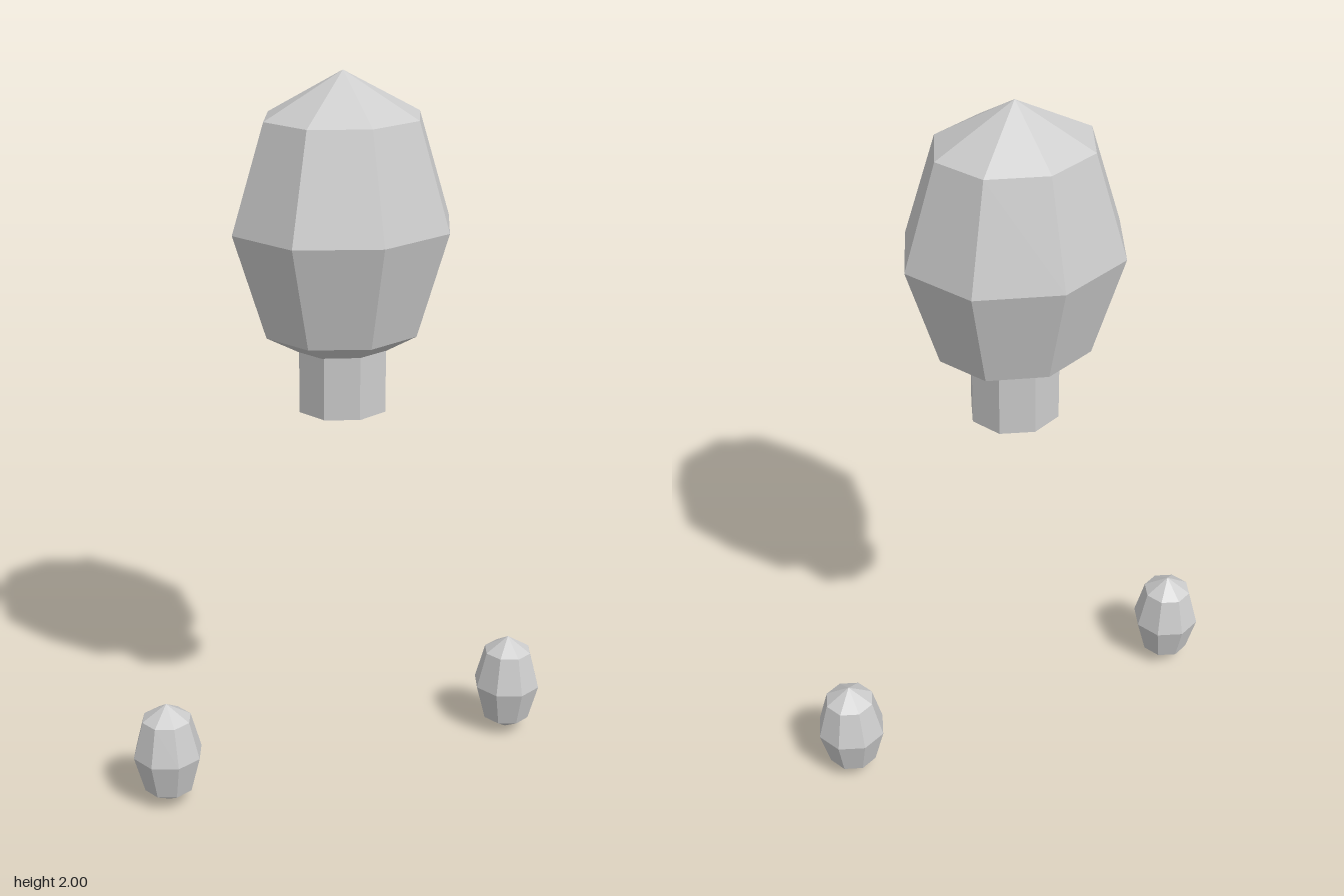
import * as THREE from 'three';

export function createModel() {
  const model = new THREE.Group();
  const grey = new THREE.MeshStandardMaterial({ color: 0xcccccc, flatShading: true });
  grey.name = 'light grey';

  // Low-poly ellipsoid with eight sides and four bands
  function ellipsoid(name, rx, ry, rz, x, y, z) {
    const geometry = new THREE.SphereGeometry(1, 8, 4).scale(rx, ry, rz);
    const mesh = new THREE.Mesh(geometry, grey);
    mesh.name = name;
    mesh.position.set(x, y, z);
    model.add(mesh);
  }

  ellipsoid('head', 0.305, 0.4, 0.272, 0, 1.6, 0);

  // Neck runs up into the underside of the head
  const neck = new THREE.Mesh(new THREE.CylinderGeometry(0.125, 0.125, 0.19, 8), grey);
  neck.name = 'neck';
  neck.scale.z = 0.95;
  neck.position.y = 1.195;
  model.add(neck);

  // Mirrored pair of hands
  for (const side of [1, -1]) {
    ellipsoid(side > 0 ? 'leftHand' : 'rightHand', 0.098, 0.151, 0.1, side * 0.528, 0.153, 0.004);
  }
  return model;
}
